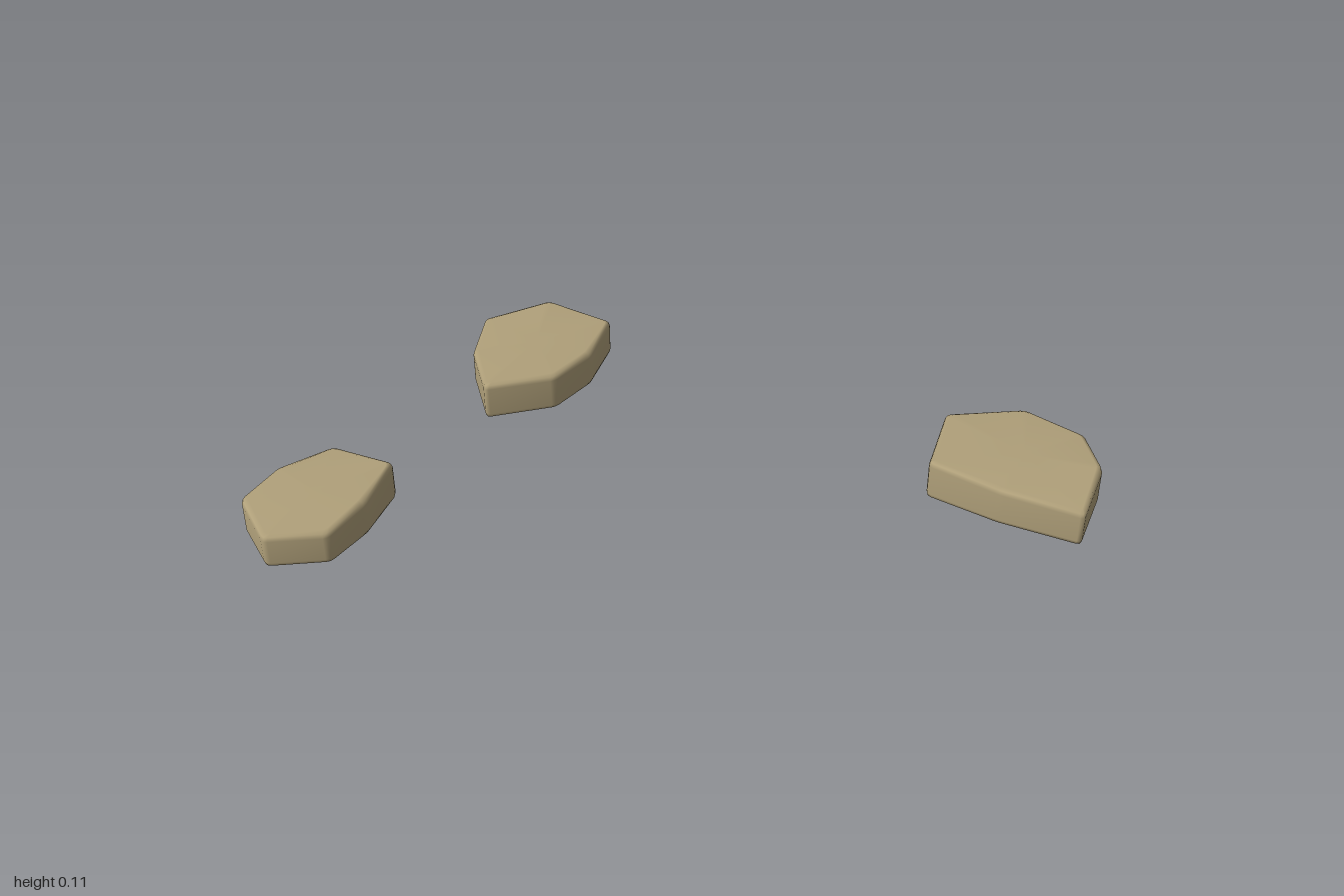
import * as THREE from 'three';

// Corner outlines, clockwise from above: [x, z, top height]
const STONES = {
  backStone: [[-0.62, -0.615, 0.112], [-0.42, -0.577, 0.1], [-0.415, -0.39, 0.102], [-0.465, -0.247, 0.104],
    [-0.627, -0.143, 0.106], [-0.73, -0.31, 0.102], [-0.764, -0.48, 0.104]],
  leftStone: [[0.578, -0.375, 0.11], [0.77, -0.474, 0.099], [0.937, -0.41, 0.092], [1.0, -0.255, 0.105],
    [0.982, -0.052, 0.098], [0.77, -0.083, 0.103], [0.578, -0.143, 0.11]],
  frontStone: [[-0.885, 0.23, 0.106], [-0.708, 0.25, 0.106], [-0.708, 0.42, 0.1], [-0.743, 0.553, 0.091],
    [-0.885, 0.615, 0.092], [-1.003, 0.5, 0.104], [-0.975, 0.36, 0.109]],
};

// Round each corner with three points on a short quadratic curve
function roundCorners(corners, radius) {
  const out = [];
  const pts = corners.map((c) => new THREE.Vector3(...c));
  pts.forEach((p, i) => {
    const prev = pts[(i + pts.length - 1) % pts.length];
    const next = pts[(i + 1) % pts.length];
    const a = p.clone().add(prev.clone().sub(p).setLength(radius));
    const b = p.clone().add(next.clone().sub(p).setLength(radius));
    out.push(a, a.clone().add(b).addScaledVector(p, 2).multiplyScalar(0.25), b);
  });
  return out;
}

// Stack bevelled rings from the underside to the uneven top, then cap both ends
function stoneGeometry(corners) {
  const outline = roundCorners(corners, 0.012);
  const n = outline.length;
  const centre = outline.reduce((s, p) => s.add(p), new THREE.Vector3()).divideScalar(n);
  const rings = [ // [inset, height for a given top]
    [0.012, () => 0],
    [0.003, () => 0.003],
    [0, () => 0.012],
    [0, (h) => h - 0.016],
    [0.004, (h) => h - 0.005],
    [0.016, (h) => h],
  ];
  const positions = [];
  const index = [];
  for (const [inset, height] of rings) {
    for (const p of outline) {
      const k = 1 - inset / Math.hypot(p.x - centre.x, p.y - centre.y);
      positions.push(centre.x + (p.x - centre.x) * k, height(p.z), centre.y + (p.y - centre.y) * k);
    }
  }
  for (let r = 0; r < rings.length - 1; r++) {
    for (let i = 0; i < n; i++) {
      const a = r * n + i;
      const b = r * n + ((i + 1) % n);
      index.push(b, a, a + n, b, a + n, b + n);
    }
  }
  const bottom = positions.length / 3;
  positions.push(centre.x, 0, centre.y, centre.x, centre.z + 0.001, centre.y);
  const top = (rings.length - 1) * n;
  for (let i = 0; i < n; i++) {
    const j = (i + 1) % n;
    index.push(bottom, i, j, bottom + 1, top + j, top + i);
  }
  const geometry = new THREE.BufferGeometry();
  geometry.setAttribute('position', new THREE.Float32BufferAttribute(positions, 3));
  geometry.setIndex(index);
  geometry.computeVertexNormals();
  return geometry;
}

export function createModel() {
  const group = new THREE.Group();
  group.name = 'steppingStones';
  const sandstone = new THREE.MeshStandardMaterial({ color: 0xb0a07a });
  sandstone.name = 'sandstone';
  for (const [name, corners] of Object.entries(STONES)) {
    const stone = new THREE.Mesh(stoneGeometry(corners), sandstone);
    stone.name = name;
    group.add(stone);
  }
  return group;
}
